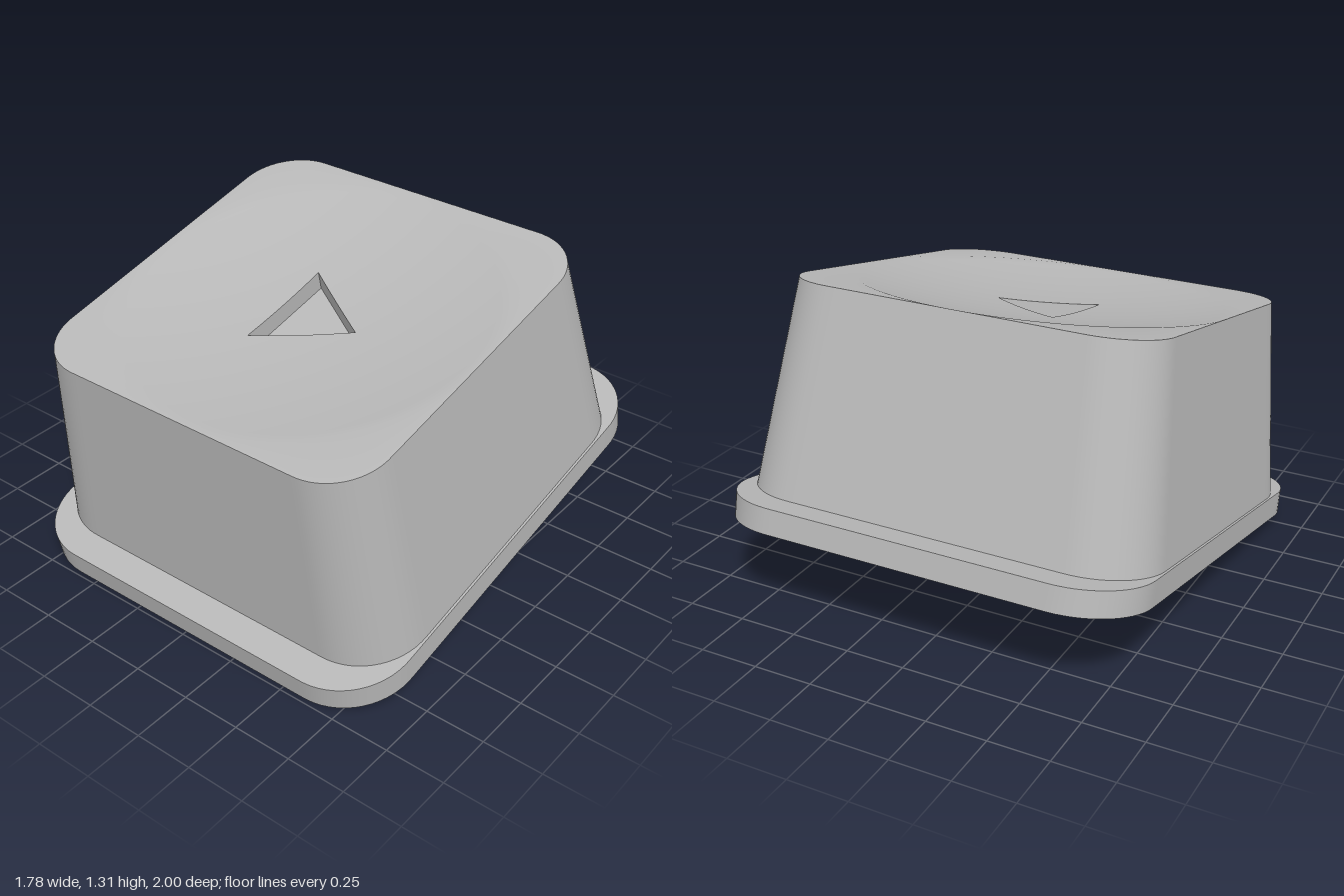
import * as THREE from 'three';
import { toCreasedNormals } from 'three/addons/utils/BufferGeometryUtils.js';

// Shared ray angles; the three triangle corners fall exactly on samples
const CORNER = Math.atan2(0.225, -0.15);
const STOPS = [0, CORNER, 2 * Math.PI - CORNER, 2 * Math.PI];
const STEPS = 84;
const ANGLES = [];
for (let s = 0; s < 3; s++) {
  for (let i = 0; i < STEPS; i++) ANGLES.push(STOPS[s] + (STOPS[s + 1] - STOPS[s]) * i / STEPS);
}

// Outlines given as distance from the centre at an angle
const circle = (r) => () => r;

const roundedRect = (a, b, c) => (t) => {
  const x = Math.abs(Math.cos(t)), z = Math.abs(Math.sin(t));
  const r = Math.min(a / Math.max(x, 1e-9), b / Math.max(z, 1e-9));
  if (r * x <= a - c || r * z <= b - c) return r;
  const p = x * (a - c) + z * (b - c);
  return p + Math.sqrt(Math.max(0, p * p - (a - c) ** 2 - (b - c) ** 2 + c * c));
};

const triangle = (t) => {
  const x = Math.cos(t), z = Math.abs(Math.sin(t));
  const slanted = 0.53 * x + 0.848 * z;
  return Math.min(x < 0 ? 0.15 / -x : Infinity, slanted > 0 ? 0.1113 / slanted : Infinity);
};

// Skin through a series of [outline, height] rings; height may depend on radius
function loft(rings) {
  const points = rings.map(([outline, height]) => ANGLES.map((t) => {
    const r = outline(t);
    const y = typeof height === 'function' ? height(r) : height;
    return [r * Math.cos(t), y, r * Math.sin(t)];
  }));
  const pos = [];
  const n = ANGLES.length;
  for (let i = 0; i < rings.length - 1; i++) {
    for (let j = 0; j < n; j++) {
      const k = (j + 1) % n;
      const a = points[i][j], b = points[i][k], c = points[i + 1][j], d = points[i + 1][k];
      if (rings[i][0] !== centre) pos.push(...a, ...c, ...b);
      if (rings[i + 1][0] !== centre) pos.push(...b, ...c, ...d);
    }
  }
  const geo = new THREE.BufferGeometry();
  geo.setAttribute('position', new THREE.Float32BufferAttribute(pos, 3));
  return toCreasedNormals(geo, 0.3);
}
const centre = circle(0);

export function createModel() {
  const grey = new THREE.MeshStandardMaterial({ color: 0xb8b8b8 });
  grey.name = 'grey plastic';

  const model = new THREE.Group();
  model.name = 'keyButton';
  const add = (name, rings) => {
    const mesh = new THREE.Mesh(loft(rings), grey);
    mesh.name = name;
    model.add(mesh);
  };

  const flangeTop = 0.105, capTop = 0.954, dishRadius = 0.785;
  const flange = roundedRect(0.89, 1.012, 0.29);
  const pocket = roundedRect(0.425, 0.425, 0.03);
  const capBottom = roundedRect(0.88, 0.882, 0.28);
  const capRim = roundedRect(0.786, 0.786, 0.24);
  const socket = circle(0.266);

  // Flange plate with a square opening underneath
  add('flange', [[pocket, 0], [flange, 0], [flange, flangeTop], [pocket, flangeTop], [pocket, 0]]);

  // Round blind socket in the underside
  add('socket', [[centre, 0.29], [socket, 0.29], [socket, flangeTop]]);

  // Tapered cap walls with flat underside
  add('capWalls', [[socket, flangeTop], [capBottom, flangeTop], [capRim, capTop]]);

  // Flat rim corners running into a shallow round dish
  const dishHeight = (r) => capTop - 0.08 * (1 - Math.min(1, r / dishRadius) ** 2);
  const dish = [[capRim, capTop]];
  for (let i = 0; i <= 14; i++) {
    const f = i / 14;
    dish.push([(t) => dishRadius + (triangle(t) - dishRadius) * f, dishHeight]);
  }
  add('dishedTop', dish);

  // Triangular pocket sunk into the dish
  add('triangleRecess', [[triangle, dishHeight], [triangle, 0.803], [centre, 0.803]]);

  // Whole button leans toward the front
  model.rotation.x = THREE.MathUtils.degToRad(12);
  model.position.set(0, 0.21, -0.01);

  const root = new THREE.Group();
  root.name = 'slopedButton';
  root.add(model);
  return root;
}
